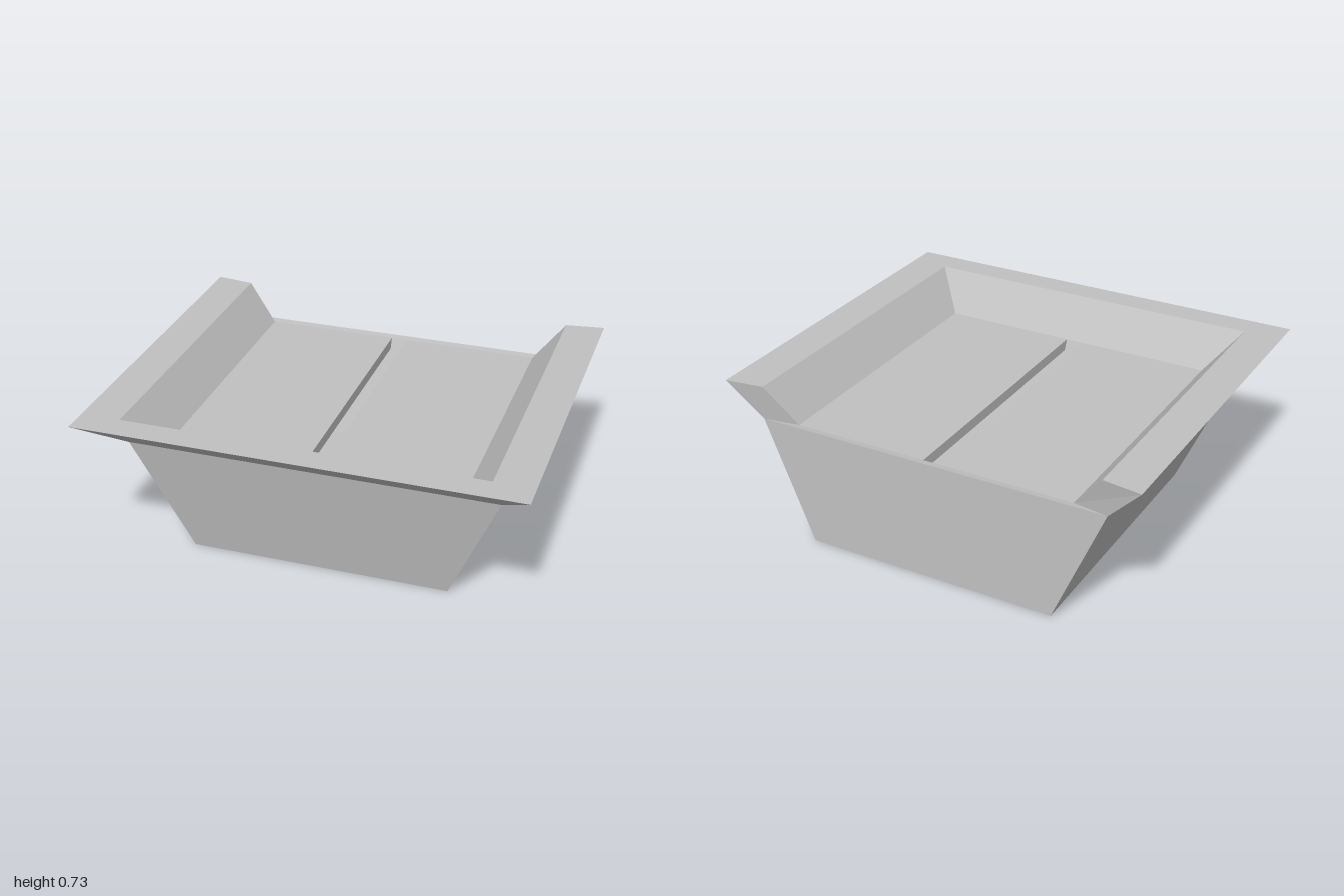
import * as THREE from 'three';

// Four corners at height y, mirrored in x: back right, front right, front left, back left
const ring = (halfWidth, y, front, back) => [
  [-halfWidth, y, back], [-halfWidth, y, front], [halfWidth, y, front], [halfWidth, y, back],
];

// Walls between a lower and an upper ring; an open band leaves out the back wall
function band(lower, upper, closed) {
  const quads = [];
  for (let i = 0; i < (closed ? 4 : 3); i++) {
    const j = (i + 1) % 4;
    quads.push([lower[i], lower[j], upper[j], upper[i]]);
  }
  return quads;
}

const flip = (quads) => quads.map((q) => [...q].reverse());

function quadMesh(name, quads, material) {
  const points = quads.flatMap(([a, b, c, d]) => [a, b, c, a, c, d]).flat();
  const geometry = new THREE.BufferGeometry();
  geometry.setAttribute('position', new THREE.Float32BufferAttribute(points, 3));
  geometry.computeVertexNormals();
  const mesh = new THREE.Mesh(geometry, material);
  mesh.name = name;
  return mesh;
}

export function createModel() {
  const grey = new THREE.MeshStandardMaterial({ color: 0xc0c0c0, side: THREE.DoubleSide });
  grey.name = 'lightGrey';
  const model = new THREE.Group();
  model.name = 'tray';

  // Main levels of the shell
  const foot = ring(0.6, 0, 0.5, -0.815);
  const shoulder = ring(0.84, 0.56, 0.61, -0.803);
  const rimOuter = ring(1, 0.73, 0.84, -0.845);
  const rimInner = ring(0.82, 0.73, 0.715, -0.82);
  const floorEdge = ring(0.675, 0.555, 0.57, -0.77);
  const hopperFoot = ring(0.47, 0.08, 0.362, -0.57);

  // Outer shell, open underneath, with a flared rim that is open at the back
  model.add(quadMesh('outerWalls', band(foot, shoulder, true), grey));
  model.add(quadMesh('flare', band(shoulder, rimOuter, false), grey));
  model.add(quadMesh('rimTop', band(rimOuter, rimInner, false), grey));
  model.add(quadMesh('basinWalls', flip(band(floorEdge, rimInner, false)), grey));

  // Back ends of the rim and the low ledge between them
  model.add(quadMesh('rimEnds', [
    [rimOuter[0], rimInner[0], floorEdge[0], shoulder[0]],
    [shoulder[3], floorEdge[3], rimInner[3], rimOuter[3]],
  ], grey));
  model.add(quadMesh('backLedge', [[shoulder[0], floorEdge[0], floorEdge[3], shoulder[3]]], grey));

  // Two floor plates with a slot between them
  for (const [name, x0, x1] of [['rightFloorPlate', -0.675, -0.045], ['leftFloorPlate', 0.035, 0.675]]) {
    const plate = new THREE.Mesh(new THREE.BoxGeometry(x1 - x0, 0.05, 1.34), grey);
    plate.position.set((x0 + x1) / 2, 0.53, -0.1);
    plate.name = name;
    model.add(plate);
  }

  // Tapered hopper below the slot
  model.add(quadMesh('hopperWalls', band(hopperFoot, floorEdge, true), grey));
  model.add(quadMesh('hopperBottom', [[...hopperFoot].reverse()], grey));

  return model;
}
